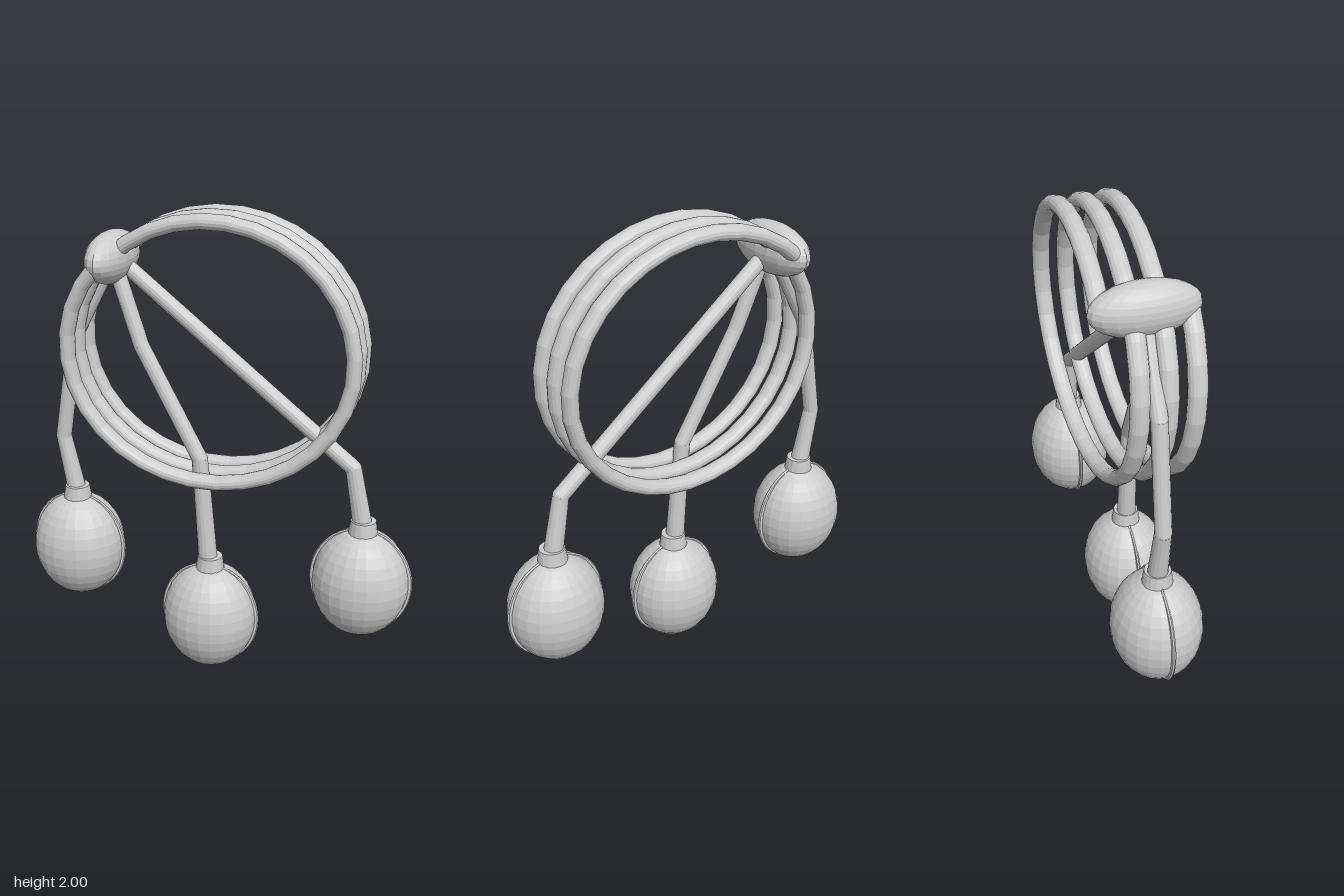
import * as THREE from 'three';

const grey = new THREE.MeshStandardMaterial({ color: 0xcccccc, flatShading: true });
grey.name = 'lightGrey';

function add(parent, name, geometry, x = 0, y = 0, z = 0) {
  const mesh = new THREE.Mesh(geometry, grey);
  mesh.name = name;
  mesh.position.set(x, y, z);
  parent.add(mesh);
  return mesh;
}

// Oval three-turn spiral that starts and ends inside the knot
class Coil extends THREE.Curve {
  getPoint(t, target = new THREE.Vector3()) {
    const a = THREE.MathUtils.degToRad(138) - t * 6 * Math.PI;
    const z = THREE.MathUtils.lerp(-0.187, 0.137, t);
    return target.set(0.589 * Math.cos(a), 1.4325 + 0.5355 * Math.sin(a), z / 1.18);
  }
}

// Tapered rod following a bent path, with a small ball at each bend
function strand(parent, name, points, radii) {
  const group = new THREE.Group();
  group.name = name;
  parent.add(group);
  const p = points.map((q) => new THREE.Vector3(...q));
  for (let i = 0; i < p.length - 1; i++) {
    const dir = p[i + 1].clone().sub(p[i]);
    const rod = add(group, 'strandRod', new THREE.CylinderGeometry(radii[i + 1], radii[i], dir.length(), 16, 1));
    rod.position.copy(p[i]).addScaledVector(dir, 0.5);
    rod.quaternion.setFromUnitVectors(new THREE.Vector3(0, 1, 0), dir.normalize());
    if (i > 0) add(group, 'strandBend', new THREE.SphereGeometry(radii[i], 16, 10), ...points[i]);
  }
}

// Hanging ball with a thin seam around it and a collar on top
function ball(parent, name, x, y, z) {
  const group = new THREE.Group();
  group.name = name;
  group.position.set(x, y, z);
  parent.add(group);
  add(group, 'ballBody', new THREE.SphereGeometry(1, 24, 16).scale(0.207, 0.243, 0.187));
  add(group, 'ballSeam', new THREE.TorusGeometry(0.207, 0.014, 8, 40).scale(1, 1.12, 0.65));
  add(group, 'ballCollar', new THREE.CylinderGeometry(0.054, 0.066, 0.085, 16), 0, 0.244, 0);
}

export function createModel() {
  const model = new THREE.Group();
  model.name = 'hangingOrnament';

  add(model, 'coil', new THREE.TubeGeometry(new Coil(), 96, 0.032, 16, false).scale(1, 1, 1.18));
  add(model, 'knot', new THREE.SphereGeometry(1, 20, 14).scale(0.09, 0.106, 0.213), -0.435, 1.793, -0.026);

  const radii = [0.033, 0.033, 0.034, 0.042];
  strand(model, 'rightStrand',
    [[-0.44, 1.78, -0.03], [-0.62, 1.44, -0.03], [-0.695, 0.98, -0.03], [-0.643, 0.71, -0.03]], radii);
  strand(model, 'middleStrand',
    [[-0.42, 1.78, 0], [-0.3, 1.445, 0.03], [-0.045, 0.98, 0.05], [-0.008, 0.5, 0.053]], radii);
  strand(model, 'leftStrand',
    [[-0.43, 1.8, -0.03], [0.59, 0.98, -0.03], [0.643, 0.71, -0.03]], [0.033, 0.034, 0.042]);

  ball(model, 'rightBall', -0.643, 0.466, -0.028);
  ball(model, 'middleBall', 0, 0.246, 0.053);
  ball(model, 'leftBall', 0.643, 0.466, -0.028);

  return model;
}
